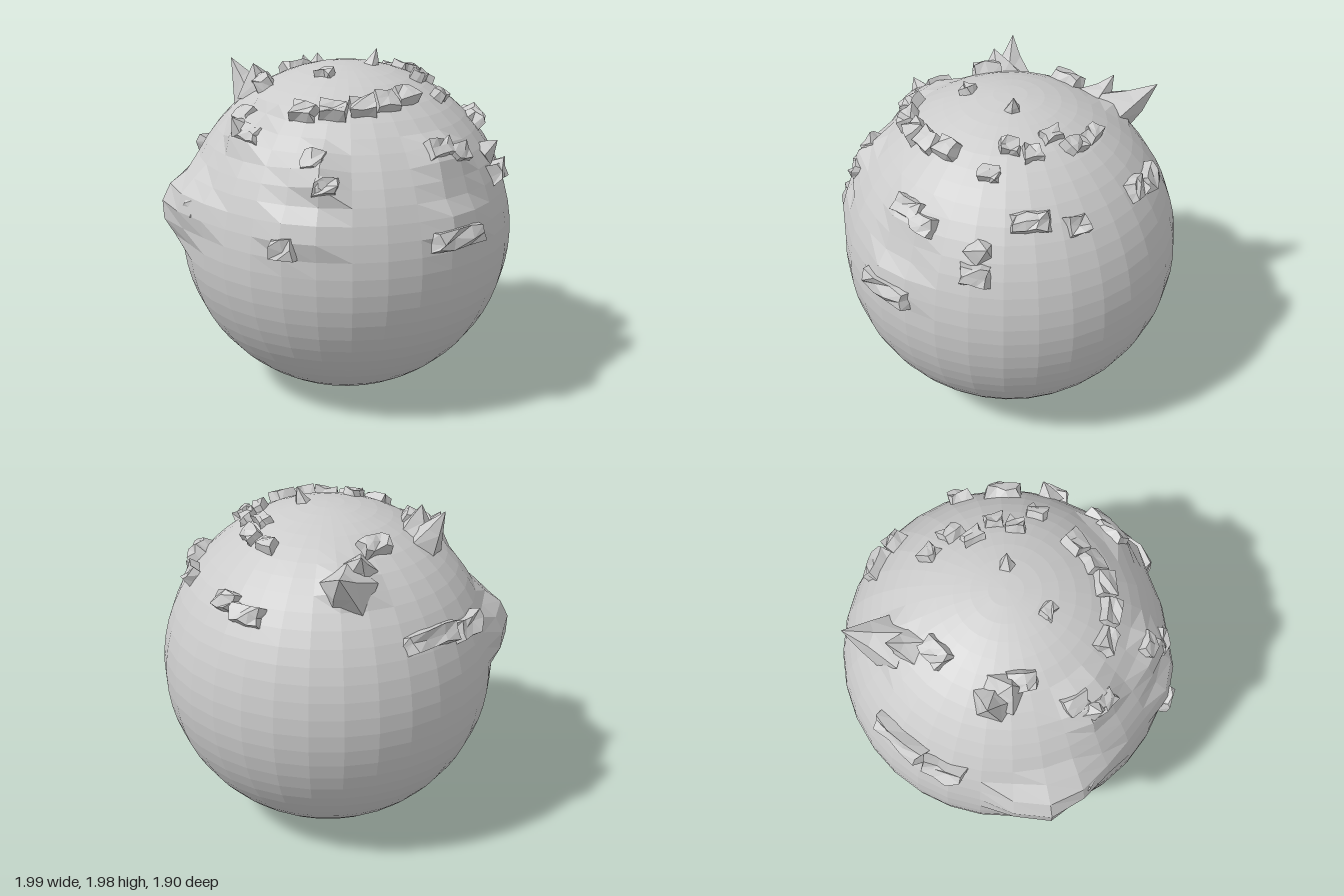
import * as THREE from 'three';

const R = 0.95;
const C = new THREE.Vector3(0.04, 0.955, -0.01);
const V = (x, y, z) => new THREE.Vector3(x, y, z);

// Small seeded generator, returns -1..1
let seed = 7;
const jitter = () => {
  seed = (seed * 16807) % 2147483647;
  return (seed / 2147483647) * 2 - 1;
};

// Direction from the ball centre to the upper surface point above x, z
function direction(x, z) {
  const dx = x - C.x, dz = z - C.z;
  return V(dx, Math.sqrt(Math.max(0, R * R - dx * dx - dz * dz)), dz).normalize();
}

// Soft swellings of the ball: x, z, radius, height
const swells = [
  [-0.88, 0.14, 0.24, 0.13], [-0.8, 0.37, 0.2, 0.09],
  [-0.24, 0.87, 0.17, 0.06], [-0.14, 0.77, 0.18, 0.07],
  [0.6, 0.72, 0.17, 0.05], [0.52, 0.6, 0.18, 0.05],
  [-0.5, 0.4, 0.2, 0.06], [-0.13, -0.62, 0.16, 0.05],
];

// Single raised rocks: x, z, width
const rocks = [
  [-0.31, 0.86, 0.14], [0.6, 0.74, 0.34], [-0.15, 0.73, 0.14],
  [-0.09, 0.81, 0.13], [0.5, 0.58, 0.2], [0.6, 0.52, 0.13],
  [-0.08, 0.2, 0.08], [-0.42, 0.06, 0.15], [-0.5, 0.32, 0.14],
  [-0.48, 0.46, 0.17], [-0.8, 0.37, 0.17], [0.38, -0.7, 0.17],
  [0.5, -0.6, 0.13], [-0.57, -0.6, 0.36], [-0.74, -0.38, 0.24],
  [-0.24, -0.38, 0.17], [0.76, 0, 0.2], [0.76, -0.24, 0.12],
  [0.85, 0.3, 0.16],
];

// Pointed rocks: base x, z, tip x, y, z, base radius
const spikes = [
  [-0.13, -0.64, -0.11, 1.8, -0.87, 0.15],
  [-0.18, -0.54, -0.2, 1.83, -0.64, 0.11],
  [-0.51, -0.1, -0.61, 1.91, -0.13, 0.12],
  [-0.46, -0.04, -0.48, 1.9, 0, 0.13],
  [0.18, 0, 0.21, 1.98, 0, 0.055],
  [0.8, 0.27, 0.87, 1.51, 0.24, 0.09],
  [-0.52, 0.4, -0.58, 1.7, 0.46, 0.12],
];

// Faceted ball whose vertices are pushed out by the swellings
function ballGeometry() {
  const geo = new THREE.SphereGeometry(R, 32, 32);
  const pos = geo.attributes.position;
  const centres = swells.map(([x, z]) => direction(x, z));
  const d = V(0, 0, 0);
  for (let i = 0; i < pos.count; i++) {
    d.fromBufferAttribute(pos, i).normalize();
    let push = 0;
    swells.forEach(([, , radius, height], k) => {
      const t = d.angleTo(centres[k]) / radius;
      if (t < 1) push = Math.max(push, height * (1 - t * t));
    });
    d.multiplyScalar(R + push);
    pos.setXYZ(i, d.x, d.y, d.z);
  }
  return geo;
}

// Box wrapped onto the ball, with an uneven, slightly tapered top
function rockGeometry(x, z, width) {
  const length = THREE.MathUtils.clamp(width * 0.8, 0.07, 0.11);
  const height = length * 0.55;
  const n = direction(x, z);
  const east = V(0, 1, 0).cross(n).normalize();
  const north = n.clone().cross(east);
  const geo = new THREE.BoxGeometry(width, length, 1, width > 0.15 ? 3 : 2, 2, 1);
  const pos = geo.attributes.position;
  const offsets = {};
  for (let i = 0; i < pos.count; i++) {
    const a = pos.getX(i), b = pos.getY(i), top = pos.getZ(i) > 0;
    const key = `${a.toFixed(3)} ${b.toFixed(3)} ${top}`;
    offsets[key] ??= [jitter(), jitter(), jitter()];
    const [ja, jb, jh] = offsets[key];
    const taper = top ? 0.85 : 1.1;
    const p = n.clone()
      .addScaledVector(east, (a * taper + ja * 0.015) / R)
      .addScaledVector(north, (b * taper + jb * 0.012) / R)
      .normalize().multiplyScalar(top ? R + height * (0.9 + 0.3 * jh) : R - 0.03);
    pos.setXYZ(i, p.x, p.y, p.z);
  }
  return geo;
}

// Uneven five-sided cone from the ball surface to its tip
function spikeGeometry([bx, bz, tx, ty, tz, radius]) {
  const base = direction(bx, bz).multiplyScalar(R - 0.03);
  const axis = V(tx, ty, tz).sub(C).sub(base);
  const len = axis.length();
  const geo = new THREE.ConeGeometry(radius, len, 5, 2);
  geo.translate(0, len / 2, 0);
  const pos = geo.attributes.position;
  const offsets = {};
  for (let i = 0; i < pos.count; i++) {
    const a = pos.getX(i), b = pos.getY(i), c = pos.getZ(i);
    const key = [a, b, c].map((v) => (v + 1).toFixed(3)).join();
    offsets[key] ??= 1 + jitter() * 0.2;
    pos.setXYZ(i, a * offsets[key], b, c * offsets[key]);
  }
  geo.applyQuaternion(new THREE.Quaternion().setFromUnitVectors(V(0, 1, 0), axis.normalize()));
  geo.translate(base.x, base.y, base.z);
  return geo;
}

export function createModel() {
  seed = 7;
  const model = new THREE.Group();
  model.name = 'rockyBall';
  const material = new THREE.MeshStandardMaterial({ color: 0xcccccc, flatShading: true });
  const add = (name, geo) => {
    const mesh = new THREE.Mesh(geo, material);
    mesh.name = name;
    mesh.position.copy(C);
    model.add(mesh);
  };

  add('ball', ballGeometry());
  rocks.forEach((r) => add('raisedRock', rockGeometry(...r)));
  spikes.forEach((s) => add('rockSpike', spikeGeometry(s)));

  // Zigzag chain of small rocks on the upper left side
  for (let i = 0; i < 6; i++) {
    add('chainRock', rockGeometry(0.31 + 0.03 * i + 0.08 * (i % 2), -0.4 + 0.115 * i, 0.11));
  }
  // Arc of rocks across the upper front
  for (let i = 0; i < 5; i++) {
    const a = THREE.MathUtils.degToRad(115 - 16 * i);
    const r = 0.55 - 0.02 * i;
    add('arcRock', rockGeometry(C.x + r * Math.cos(a), r * Math.sin(a), 0.13));
  }
  return model;
}
